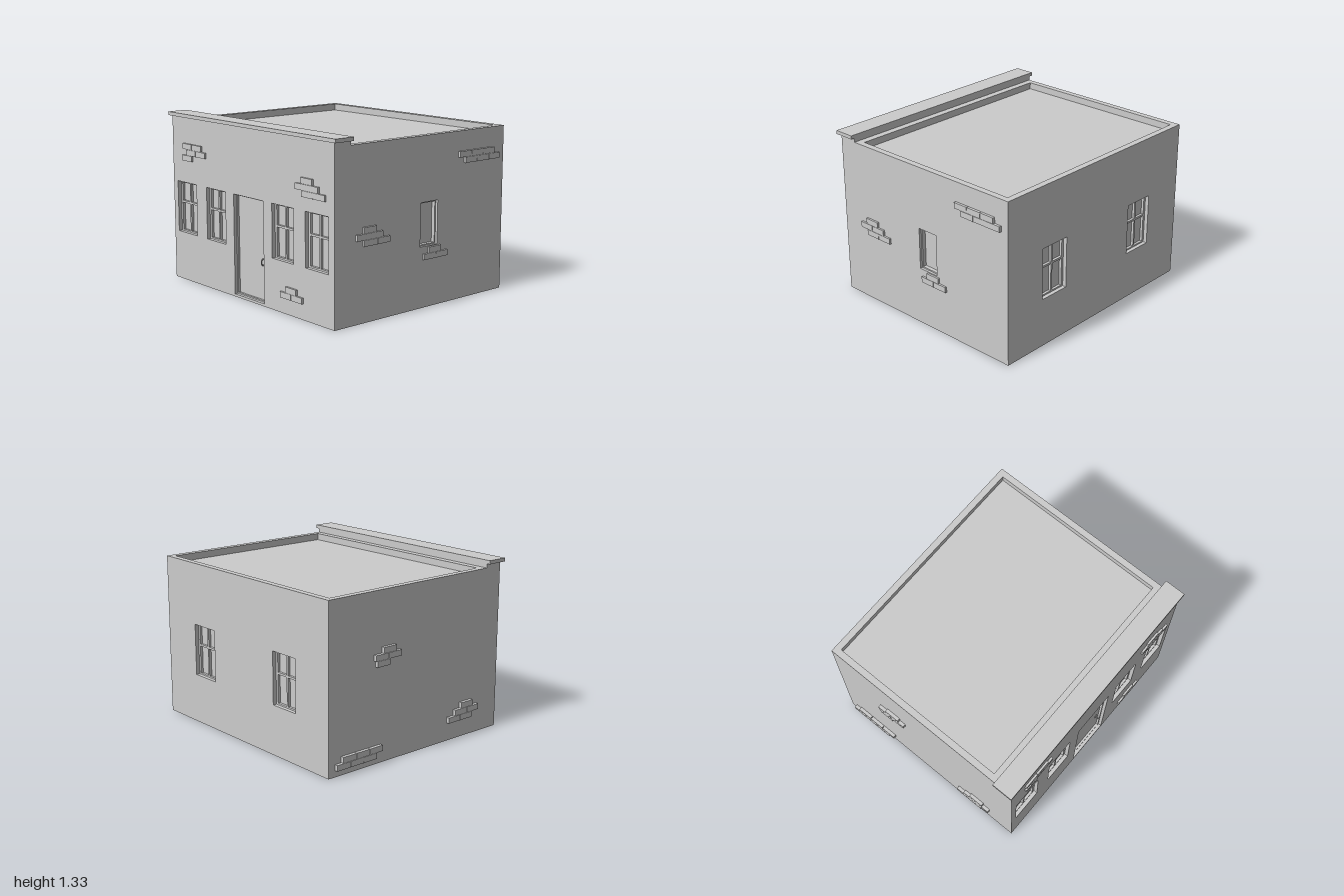
import * as THREE from 'three';

const W = 0.97, FRONT = 0.841, BACK = 0.86, TOP = 1.273, T = 0.05, DECK = 1.22;

export function createModel() {
  const model = new THREE.Group();
  model.name = 'building';
  const mat = new THREE.MeshStandardMaterial({ color: 0xcccccc });

  const add = (parent, name, geo, x = 0, y = 0, z = 0) => {
    const m = new THREE.Mesh(geo, mat);
    m.name = name;
    m.position.set(x, y, z);
    parent.add(m);
    return m;
  };
  // Box given by its minimum and maximum corners
  const box = (parent, name, x0, x1, y0, y1, z0, z1) =>
    add(parent, name, new THREE.BoxGeometry(x1 - x0, y1 - y0, z1 - z0),
      (x0 + x1) / 2, (y0 + y1) / 2, (z0 + z1) / 2);
  // Rectangular panel with rectangular holes, each [u0, u1, y0, y1]
  const trace = (path, [a, b, c, d]) =>
    path.moveTo(a, c).lineTo(b, c).lineTo(b, d).lineTo(a, d).closePath();
  const panel = (parent, name, rect, holes, z0, z1) => {
    const s = trace(new THREE.Shape(), rect);
    s.holes = holes.map(h => trace(new THREE.Path(), h));
    return add(parent, name, new THREE.ExtrudeGeometry(s, { depth: z1 - z0, bevelEnabled: false }), 0, 0, z0);
  };
  // Facade group: local x runs right seen from outside, local z points outward
  const facade = (name, angle, dist) => {
    const g = new THREE.Group();
    g.name = name;
    g.rotation.y = angle;
    g.position.set(Math.sin(angle) * dist, 0, Math.cos(angle) * dist);
    model.add(g);
    return g;
  };
  const front = facade('frontFacade', 0, FRONT);
  const back = facade('backFacade', Math.PI, BACK);
  const left = facade('leftFacade', Math.PI / 2, W);
  const right = facade('rightFacade', -Math.PI / 2, W);

  // Openings
  const tall = (a, b) => [a, b, 0.385, 0.79];
  const frontWindows = [tall(-0.915, -0.66), tall(-0.525, -0.28), tall(0.285, 0.53), tall(0.66, 0.91)];
  const backWindows = [tall(-0.61, -0.355), tall(0.36, 0.615)];
  const sideWindow = [-0.02, 0.155, 0.46, 0.787];
  const door = [-0.175, 0.185, 0.02, 0.79];

  // Walls with openings, and the core behind them forming panes and roof deck
  panel(front, 'frontWall', [-W, W, 0, TOP], [...frontWindows, door], -T, 0);
  panel(back, 'backWall', [-W, W, 0, TOP], backWindows, -T, 0);
  panel(left, 'leftWall', [T - FRONT, BACK - T, 0, TOP], [sideWindow], -T, 0);
  panel(right, 'rightWall', [T - BACK, FRONT - T, 0, TOP], [], -T, 0);
  box(model, 'roofDeck', -W + T, W - T, 0, DECK, T - BACK, FRONT - T);

  // Front parapet with overhanging cap
  box(model, 'frontRoofLedge', -W + T, W - T, DECK, TOP, 0.64, FRONT - T);
  box(model, 'parapet', -W, W, TOP, 1.305, 0.695, FRONT);
  box(model, 'parapetCap', -1, 1, 1.305, 1.333, 0.692, 0.86);

  // Four-pane window frames
  const addWindow = (face, [a, b, c, d]) => {
    const m = (a + b) / 2, f = 0.02, h = 0.008, rail = 0.623;
    const panes = [];
    for (const [u0, u1] of [[a + f, m - h], [m + h, b - f]])
      panes.push([u0, u1, c + 0.012, rail - h], [u0, u1, rail + h, d - 0.013]);
    panel(face, 'windowFrame', [a, b, c, d], panes, -T, -0.03);
  };
  frontWindows.forEach(w => addWindow(front, w));
  backWindows.forEach(w => addWindow(back, w));

  // Plain frames for the side window and the door
  const inset = ([a, b, c, d], t) => [a + t, b - t, c + t, d - t];
  panel(left, 'sideWindowFrame', sideWindow, [inset(sideWindow, 0.01)], -T, -0.02);
  panel(front, 'doorFrame', door, [inset(door, 0.01)], -T, -0.025);
  panel(front, 'doorLeaf', inset(door, 0.01), [], -T, -0.042);

  // Door handle: rounded plate and bowed grip
  const plate = add(front, 'handlePlate', new THREE.CapsuleGeometry(0.008, 0.05, 4, 10), 0.135, 0.318, -0.041);
  plate.scale.z = 0.5;
  const grip = new THREE.CatmullRomCurve3([
    new THREE.Vector3(0.135, 0.345, -0.042), new THREE.Vector3(0.135, 0.338, -0.02),
    new THREE.Vector3(0.135, 0.302, -0.02), new THREE.Vector3(0.135, 0.295, -0.042)]);
  add(front, 'handleGrip', new THREE.TubeGeometry(grip, 16, 0.005, 8));

  // Exposed brick patches: rows from the top down, each [start, brick count]
  const bricks = (face, top, out, rows) => {
    const g = new THREE.Group();
    g.name = 'brickPatch';
    face.add(g);
    const len = 0.125, step = 0.046, gap = 0.002;
    rows.forEach(([start, count], r) => {
      for (let i = 0; i < count; i++) {
        const u = start + i * len, y = top - r * step;
        box(g, 'brick', u + gap, u + len - gap, y - step + gap, y, -0.005, out);
      }
    });
  };
  bricks(front, 1.102, 0.016, [[-0.82, 2], [-0.768, 2], [-0.82, 1]]);
  bricks(front, 1.027, 0.016, [[0.628, 1], [0.565, 2], [0.635, 2]]);
  bricks(front, 0.208, 0.016, [[0.448, 1], [0.388, 2]]);
  bricks(left, 1.122, 0.02, [[0.365, 3], [0.425, 3]]);
  bricks(left, 0.69, 0.016, [[-0.588, 1], [-0.65, 2], [-0.582, 2]]);
  bricks(left, 0.452, 0.016, [[0.058, 1], [0.005, 2]]);
  bricks(right, 0.862, 0.026, [[-0.37, 1], [-0.445, 2], [-0.43, 1]]);
  bricks(right, 0.278, 0.026, [[0.435, 1], [0.372, 2], [0.302, 2]]);
  bricks(right, 0.14, 0.026, [[-0.745, 3], [-0.803, 3]]);

  return model;
}
